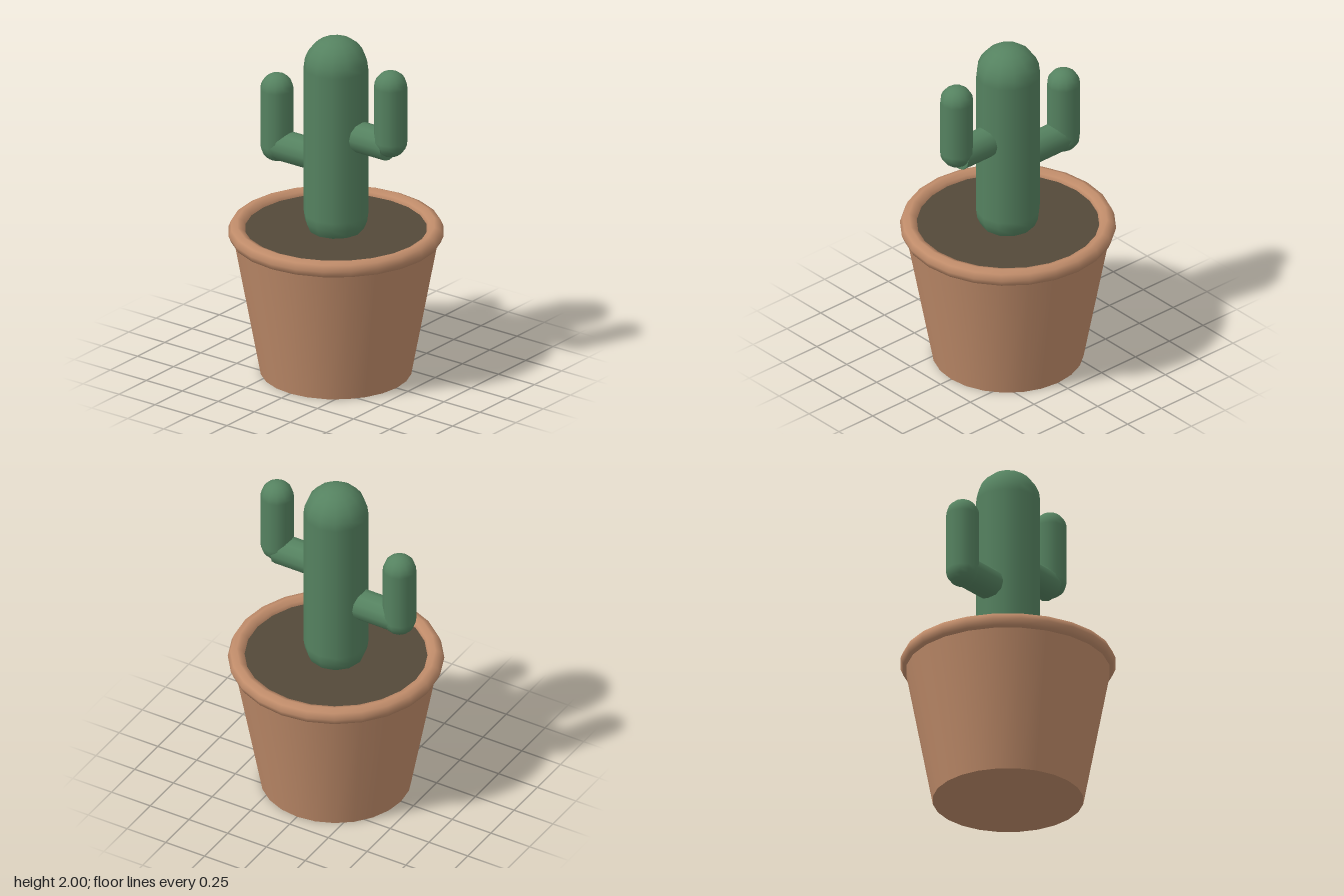
import * as THREE from 'three';

const green = new THREE.MeshStandardMaterial({ color: 0x558260 });
const clay = new THREE.MeshStandardMaterial({ color: 0xc08c6a });
const earth = new THREE.MeshStandardMaterial({ color: 0x544939 });

function add(parent, name, geometry, material, x, y) {
  const mesh = new THREE.Mesh(geometry, material);
  mesh.name = name;
  mesh.position.set(x, y, 0);
  parent.add(mesh);
  return mesh;
}

// Upright rounded stem spanning bottom to top
function addStem(parent, name, radius, x, bottom, top) {
  const geometry = new THREE.CapsuleGeometry(radius, top - bottom - 2 * radius, 6, 12);
  add(parent, name, geometry, green, x, (bottom + top) / 2);
}

// Branch: a horizontal joint out of the trunk and an upright tip
function addArm(parent, name, { x, jointEnd, jointY, bottom, top }) {
  const arm = new THREE.Group();
  arm.name = name;
  const joint = new THREE.CylinderGeometry(0.088, 0.088, Math.abs(jointEnd), 12);
  joint.rotateZ(Math.PI / 2);
  add(arm, name + 'Joint', joint, green, jointEnd / 2, jointY);
  addStem(arm, name + 'Tip', 0.093, x, bottom, top);
  parent.add(arm);
}

export function createModel() {
  const model = new THREE.Group();
  model.name = 'pottedCactus';

  // Tapered pot with a rolled rim, filled with soil
  add(model, 'pot', new THREE.CylinderGeometry(0.575, 0.42, 0.835, 24), clay, 0, 0.4175);
  const rim = new THREE.TorusGeometry(0.55, 0.05, 8, 24);
  rim.rotateX(Math.PI / 2);
  add(model, 'rim', rim, clay, 0, 0.835);
  add(model, 'soil', new THREE.CylinderGeometry(0.52, 0.52, 0.05, 24), earth, 0, 0.825);

  // Cactus
  const cactus = new THREE.Group();
  cactus.name = 'cactus';
  addStem(cactus, 'trunk', 0.18, 0, 0.77, 2);
  addArm(cactus, 'leftArm', { x: 0.38, jointEnd: 0.37, jointY: 1.442, bottom: 1.38, top: 1.89 });
  addArm(cactus, 'rightArm', { x: -0.41, jointEnd: -0.4, jointY: 1.258, bottom: 1.16, top: 1.68 });
  model.add(cactus);

  return model;
}
